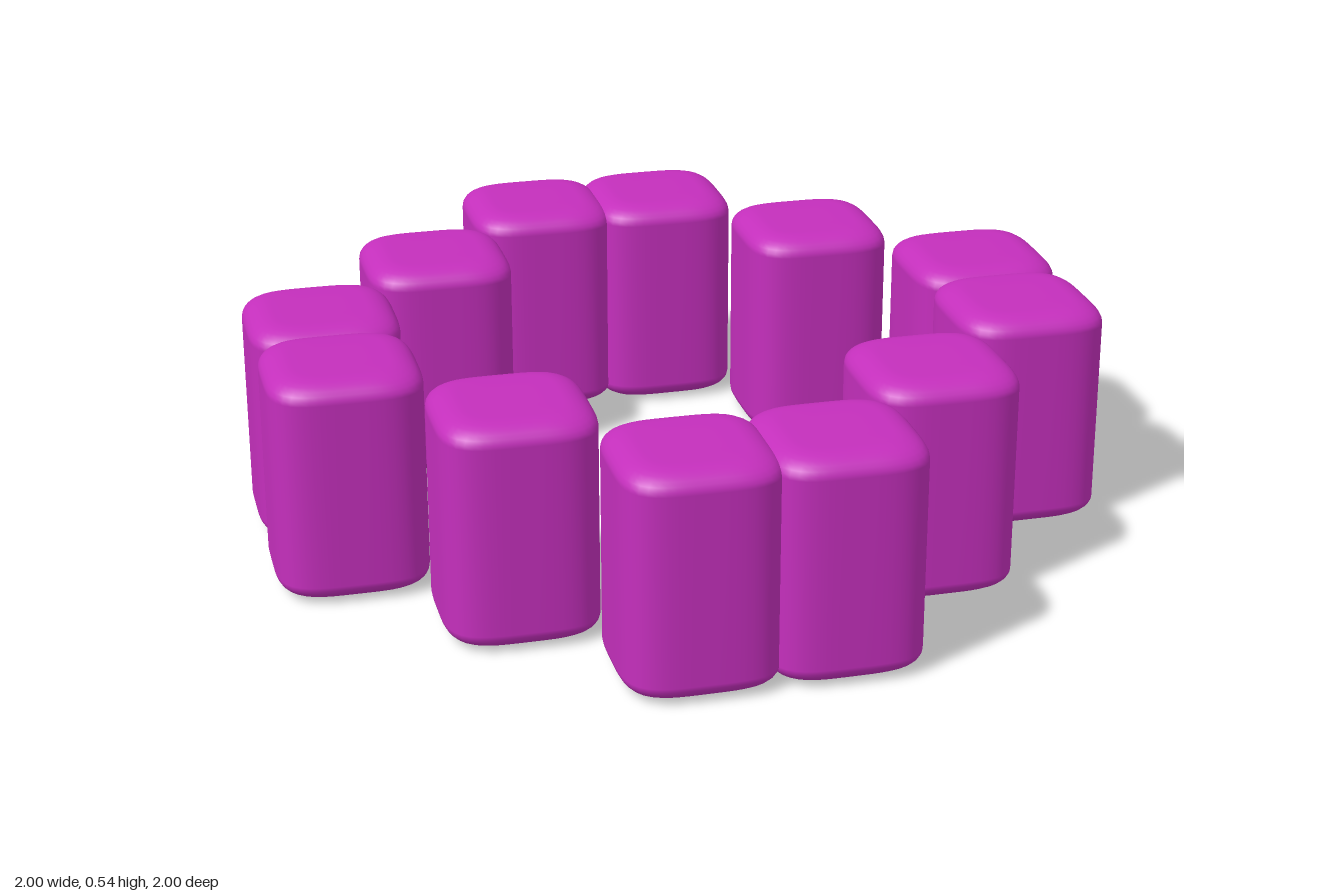
import * as THREE from 'three';
import { mergeVertices } from 'three/addons/utils/BufferGeometryUtils.js';

const HALF = 0.18, HEIGHT = 0.54;
const BEVEL_X = 0.07, BEVEL_Y = 0.045; // softened top and bottom rims

// Pillow-cornered block: a lathed profile whose circular section is squared off
function blockGeometry() {
  const lower = [new THREE.Vector2(0, 0), new THREE.Vector2(0.06, 0)];
  for (let i = 0; i <= 7; i++) {
    const a = (i / 7) * Math.PI / 2;
    lower.push(new THREE.Vector2(
      HALF - BEVEL_X * (1 - Math.sin(a)),
      BEVEL_Y * (1 - Math.cos(a))
    ));
  }
  const upper = lower.map(p => new THREE.Vector2(p.x, HEIGHT - p.y)).reverse();
  const lathe = new THREE.LatheGeometry([...lower, ...upper], 64);

  const pos = lathe.attributes.position;
  for (let i = 0; i < pos.count; i++) {
    const x = pos.getX(i), z = pos.getZ(i), r = Math.hypot(x, z);
    if (r < 1e-6) continue;
    const k = Math.pow((x / r) ** 4 + (z / r) ** 4, -0.25);
    pos.setX(i, x * k);
    pos.setZ(i, z * k);
  }
  lathe.deleteAttribute('uv');
  lathe.deleteAttribute('normal');
  const geometry = mergeVertices(lathe, 1e-5);
  geometry.computeVertexNormals();
  return geometry;
}

export function createModel() {
  const model = new THREE.Group();
  model.name = 'blockRing';
  const geometry = blockGeometry();
  const material = new THREE.MeshStandardMaterial({ color: 0xc42fbc });

  // Three blocks per quadrant, mirrored to all four
  const quadrant = [[0.163, 0.82], [0.488, 0.492], [0.82, 0.163]];
  for (const sx of [-1, 1]) {
    for (const sz of [-1, 1]) {
      for (const [x, z] of quadrant) {
        const block = new THREE.Mesh(geometry, material);
        block.name = 'block';
        block.position.set(sx * x, 0, sz * z);
        model.add(block);
      }
    }
  }
  return model;
}
